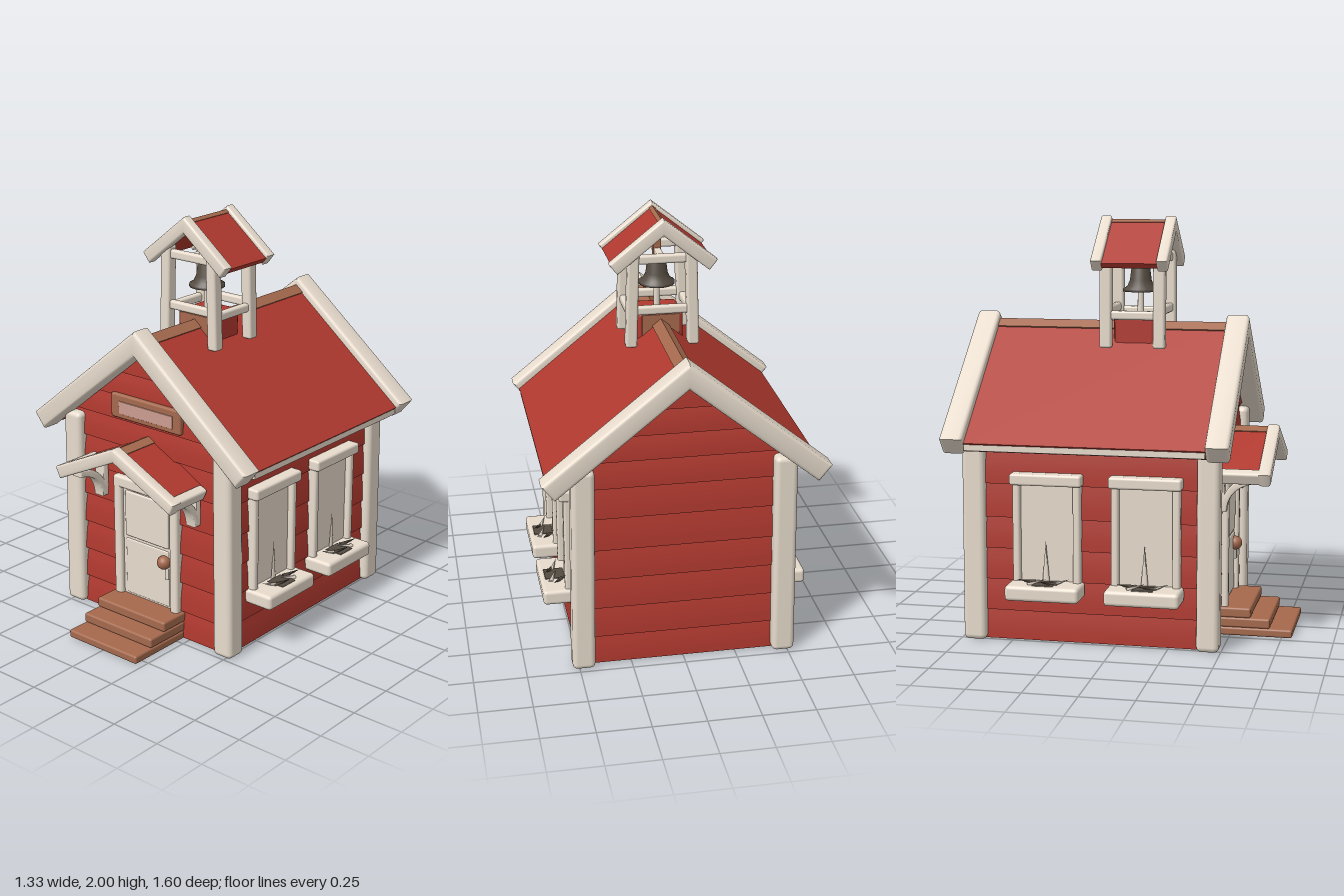
import * as THREE from 'three';
import { toCreasedNormals } from 'three/addons/utils/BufferGeometryUtils.js';
import { RoundedBoxGeometry } from 'three/addons/geometries/RoundedBoxGeometry.js';

const mat = (name, color) => {
  const m = new THREE.MeshStandardMaterial({ color });
  m.name = name;
  return m;
};

export function createModel() {
  const red = mat('barn red', 0xb0392f);
  const cream = mat('cream trim', 0xe8dccd);
  const brown = mat('brown wood', 0xa5694d);
  const iron = mat('dark iron', 0x544b41);
  const faded = mat('faded paint', 0xcb9c8f);

  const model = new THREE.Group();
  model.name = 'schoolhouse';

  const group = (name, parent = model) => {
    const g = new THREE.Group();
    g.name = name;
    parent.add(g);
    return g;
  };
  const add = (parent, name, geo, material, x = 0, y = 0, z = 0) => {
    const m = new THREE.Mesh(geo, material);
    m.name = name;
    m.position.set(x, y, z);
    parent.add(m);
    return m;
  };
  // Rounded box given by its limits on each axis
  const box = (parent, name, material, [x0, x1], [y0, y1], [z0, z1], r = 0.012) => {
    const w = x1 - x0, h = y1 - y0, d = z1 - z0;
    const geo = new RoundedBoxGeometry(w, h, d, 2, Math.min(r, w * 0.45, h * 0.45, d * 0.45));
    return add(parent, name, geo, material, (x0 + x1) / 2, (y0 + y1) / 2, (z0 + z1) / 2);
  };
  // Shape pushed along z from z0 to z1 with softened edges
  const extrude = (shape, z0, z1, b) => {
    const geo = new THREE.ExtrudeGeometry(shape, {
      depth: z1 - z0 - 2 * b, bevelEnabled: b > 0, bevelSize: b, bevelThickness: b,
      bevelOffset: -b, bevelSegments: 3, curveSegments: 10,
    });
    geo.translate(0, 0, z0 + b);
    return toCreasedNormals(geo, 0.6);
  };
  // Inverted V: half width w, apex height a, slope s, thickness t
  const chevron = (parent, name, material, w, a, s, t, z0, z1, b = 0) => {
    const n = Math.hypot(s, 1), lx = w - t * s / n, ly = a - s * w - t / n;
    const shape = new THREE.Shape([[0, a], [-w, a - s * w], [-lx, ly], [0, a - t * n], [lx, ly], [w, a - s * w]]
      .map(([x, y]) => new THREE.Vector2(x, y)));
    return add(parent, name, extrude(shape, z0, z1, b), material);
  };
  // Post leaning sideways by dx from foot to head
  const post = (parent, name, xs, ys, zs, dx, r) => {
    const m = box(parent, name, cream, xs, ys, zs, r);
    const p = m.geometry.attributes.position, h = ys[1] - ys[0];
    for (let i = 0; i < p.count; i++) p.setX(i, p.getX(i) + dx * (p.getY(i) / h + 0.5));
    return m;
  };

  // Walls: lapped boards, each leaning out at its lower edge
  const walls = group('walls');
  const levels = [0.01, 0.15, 0.3, 0.45, 0.6, 0.76, 0.91, 1.04, 1.16, 1.28, 1.42];
  const halfWidth = y => Math.min(0.485, Math.max(0.005, (1.43 - y) / 0.81));
  for (let i = 0; i < levels.length - 1; i++) {
    const y0 = levels[i], y1 = levels[i + 1];
    const geo = new THREE.BoxGeometry(2, y1 - y0, 2, 1, 3, 1);
    const p = geo.attributes.position;
    for (let j = 0; j < p.count; j++) {
      const y = p.getY(j) + (y0 + y1) / 2, t = (y - y0) / (y1 - y0);
      const out = 0.018 * (1 - t * t);
      p.setXYZ(j, p.getX(j) * (halfWidth(y) + (y1 < 1 ? out * 0.6 : 0)), y,
        p.getZ(j) > 0 ? 0.44 + out : -0.67 - out);
    }
    geo.computeVertexNormals();
    add(walls, 'wallBoard', geo, red);
  }
  for (const s of [-1, 1]) {
    for (const [z0, z1] of [[0.385, 0.492], [-0.735, -0.625]]) {
      const xs = s > 0 ? [0.425, 0.533] : [-0.533, -0.425];
      post(walls, 'cornerPost', xs, [0.005, 1.02], [z0, z1], -0.01 * s, 0.025);
    }
  }

  // Main roof with bargeboards, ridge strip and eave boards
  const roof = group('roof');
  chevron(roof, 'roofPanels', red, 0.635, 1.485, 0.81, 0.055, -0.7, 0.45);
  chevron(roof, 'ridgeStrip', brown, 0.042, 1.494, 0.81, 0.02, -0.695, 0.445);
  chevron(roof, 'frontBargeboard', cream, 0.665, 1.53, 0.81, 0.096, 0.44, 0.552, 0.018);
  chevron(roof, 'backBargeboard', cream, 0.665, 1.53, 0.81, 0.096, -0.8, -0.688, 0.018);
  for (const s of [-1, 1]) {
    const xs = s > 0 ? [0.605, 0.63] : [-0.63, -0.605];
    box(roof, 'eaveBoard', cream, xs, [0.934, 0.968], [-0.69, 0.44], 0.004);
  }

  // Door with frame, panels and knob
  const door = group('door');
  box(door, 'doorJamb', cream, [-0.205, -0.157], [0.13, 0.762], [0.42, 0.488], 0.014);
  box(door, 'doorJamb', cream, [0.152, 0.2], [0.13, 0.762], [0.42, 0.488], 0.014);
  box(door, 'doorHead', cream, [-0.205, 0.2], [0.702, 0.762], [0.42, 0.488], 0.014);
  box(door, 'doorLeaf', cream, [-0.17, 0.165], [0.13, 0.71], [0.43, 0.464], 0.004);
  box(door, 'upperDoorPanel', cream, [-0.14, 0.135], [0.455, 0.69], [0.455, 0.474], 0.008);
  box(door, 'lowerDoorPanel', cream, [-0.14, 0.135], [0.15, 0.44], [0.455, 0.47], 0.007);
  box(door, 'lockPlate', cream, [0.12, 0.145], [0.3, 0.36], [0.46, 0.482], 0.004);
  add(door, 'doorKnob', new THREE.SphereGeometry(0.034, 16, 12), brown, 0.113, 0.385, 0.478);

  // Front steps
  const steps = group('frontSteps');
  [[0.005, 0.045, 0.8], [0.045, 0.093, 0.693], [0.093, 0.142, 0.6]].forEach(([y0, y1, z]) =>
    box(steps, 'step', brown, [-0.217, 0.217], [y0, y1], [0.44, z], 0.01));

  // Sign board over the porch
  const sign = group('sign');
  box(sign, 'signBoard', brown, [-0.215, 0.22], [1.055, 1.175], [0.43, 0.478], 0.01);
  box(sign, 'signFace', faded, [-0.16, 0.175], [1.08, 1.142], [0.474, 0.482], 0.002);

  // Porch roof on curved brackets
  const porch = group('porch');
  chevron(porch, 'porchRoof', red, 0.355, 0.99, 0.48, 0.045, 0.44, 0.66);
  chevron(porch, 'porchRidge', brown, 0.042, 0.995, 0.48, 0.016, 0.45, 0.65);
  chevron(porch, 'porchTrim', cream, 0.375, 1.003, 0.48, 0.062, 0.645, 0.705, 0.012);
  const curve = new THREE.Shape();
  curve.moveTo(0.45, 0.63).lineTo(0.492, 0.63).quadraticCurveTo(0.5, 0.755, 0.64, 0.772);
  curve.lineTo(0.64, 0.805).quadraticCurveTo(0.53, 0.8, 0.485, 0.72).lineTo(0.485, 0.8).lineTo(0.45, 0.8);
  for (const s of [-1, 1]) {
    const e = box(porch, 'porchEaveTrim', cream, [-0.025, 0.025], [-0.031, 0.031], [0.46, 0.7]);
    e.position.x = s * 0.339;
    e.position.y = 0.806;
    e.rotation.z = -s * Math.atan(0.48);
    const bracket = add(porch, 'bracket', extrude(curve, -0.03, 0.03, 0.006), cream, s * 0.293, 0, 0);
    bracket.rotation.y = -Math.PI / 2;
  }

  // Two windows with planters on each side
  for (const s of [-1, 1]) {
    for (const zc of [0.147, -0.325]) {
      const win = group('window');
      const part = (name, material, x0, x1, ys, z0, z1, r) =>
        box(win, name, material, s > 0 ? [x0, x1] : [-x1, -x0], ys, [zc + z0, zc + z1], r);
      part('windowPane', cream, 0.47, 0.503, [0.28, 0.78], -0.15, 0.15, 0.003);
      part('windowHeader', cream, 0.47, 0.553, [0.765, 0.82], -0.172, 0.172);
      for (const k of [-1, 1]) part('windowJamb', cream, 0.47, 0.532, [0.29, 0.78], k * 0.145 - 0.018, k * 0.145 + 0.018);
      part('planter', cream, 0.48, 0.638, [0.232, 0.305], -0.177, 0.177, 0.018);
      part('planterSoil', iron, 0.52, 0.615, [0.298, 0.309], -0.05, 0.05, 0.004);
      // Dry stem and leaves
      const stem = add(win, 'dryStem', new THREE.ConeGeometry(0.018, 0.2, 6), cream, s * 0.515, 0.4, zc - 0.005);
      stem.scale.x = 0.4;
      for (let i = 0; i < 4; i++) {
        const leaf = add(win, 'dryLeaf', new THREE.ConeGeometry(0.012, 0.09, 5), i % 2 ? cream : iron,
          s * (0.56 + 0.015 * (i % 3)), 0.315, zc - 0.09 + i * 0.055);
        leaf.rotation.set(i % 2 ? 1.3 : -1.3, 0, s * (i % 2 ? 0.4 : -0.5));
      }
    }
  }

  // Bell tower
  const tower = group('bellTower');
  tower.position.z = 0.01;
  box(tower, 'towerBase', red, [-0.11, 0.11], [1.37, 1.525], [-0.1, 0.1], 0.02);
  for (const s of [-1, 1]) {
    box(tower, 'basePlate', brown, [-0.09, 0.09], [1.39, 1.515], [s * 0.1 - 0.004, s * 0.1 + 0.004], 0.002);
    for (const z of [-0.13, 0.13]) {
      const xs = s > 0 ? [0.122, 0.177] : [-0.177, -0.122];
      post(tower, 'towerPost', xs, [1.375, 1.84], [z - 0.029, z + 0.029], -0.013 * s, 0.012);
    }
    box(tower, 'sideRail', cream, s > 0 ? [0.128, 0.164] : [-0.164, -0.128], [1.51, 1.553], [-0.13, 0.13]);
    box(tower, 'crossRail', cream, [-0.14, 0.14], [1.53, 1.573], [s * 0.13 - 0.018, s * 0.13 + 0.018]);
    box(tower, 'topBeam', cream, [-0.14, 0.14], [1.778, 1.822], [s * 0.13 - 0.018, s * 0.13 + 0.018]);
    chevron(tower, 'towerTrim', cream, 0.256, 2, 0.8, 0.062, s * 0.158 - 0.027, s * 0.158 + 0.027, 0.01);
  }
  chevron(tower, 'towerRoof', red, 0.243, 1.978, 0.8, 0.03, -0.14, 0.14);
  chevron(tower, 'towerRidge', brown, 0.016, 1.983, 0.8, 0.012, -0.138, 0.138);

  // Bell with hanger and clapper
  const bell = group('bell', tower);
  bell.position.z = 0.01;
  box(bell, 'bellHanger', brown, [-0.019, 0.019], [1.75, 1.9], [-0.019, 0.019], 0.005);
  box(bell, 'hangerBeam', cream, [-0.015, 0.015], [1.785, 1.815], [-0.13, 0.13], 0.005);
  const profile = [[0.001, 1.74], [0.045, 1.68], [0.07, 1.637], [0.086, 1.637], [0.086, 1.65],
    [0.066, 1.662], [0.053, 1.69], [0.046, 1.745], [0.035, 1.762], [0.001, 1.765]];
  add(bell, 'bellBody', new THREE.LatheGeometry(profile.map(([r, y]) => new THREE.Vector2(r, y)), 24), iron);
  add(bell, 'clapper', new THREE.CylinderGeometry(0.014, 0.016, 0.18, 10), cream, 0, 1.61, 0);

  return model;
}
